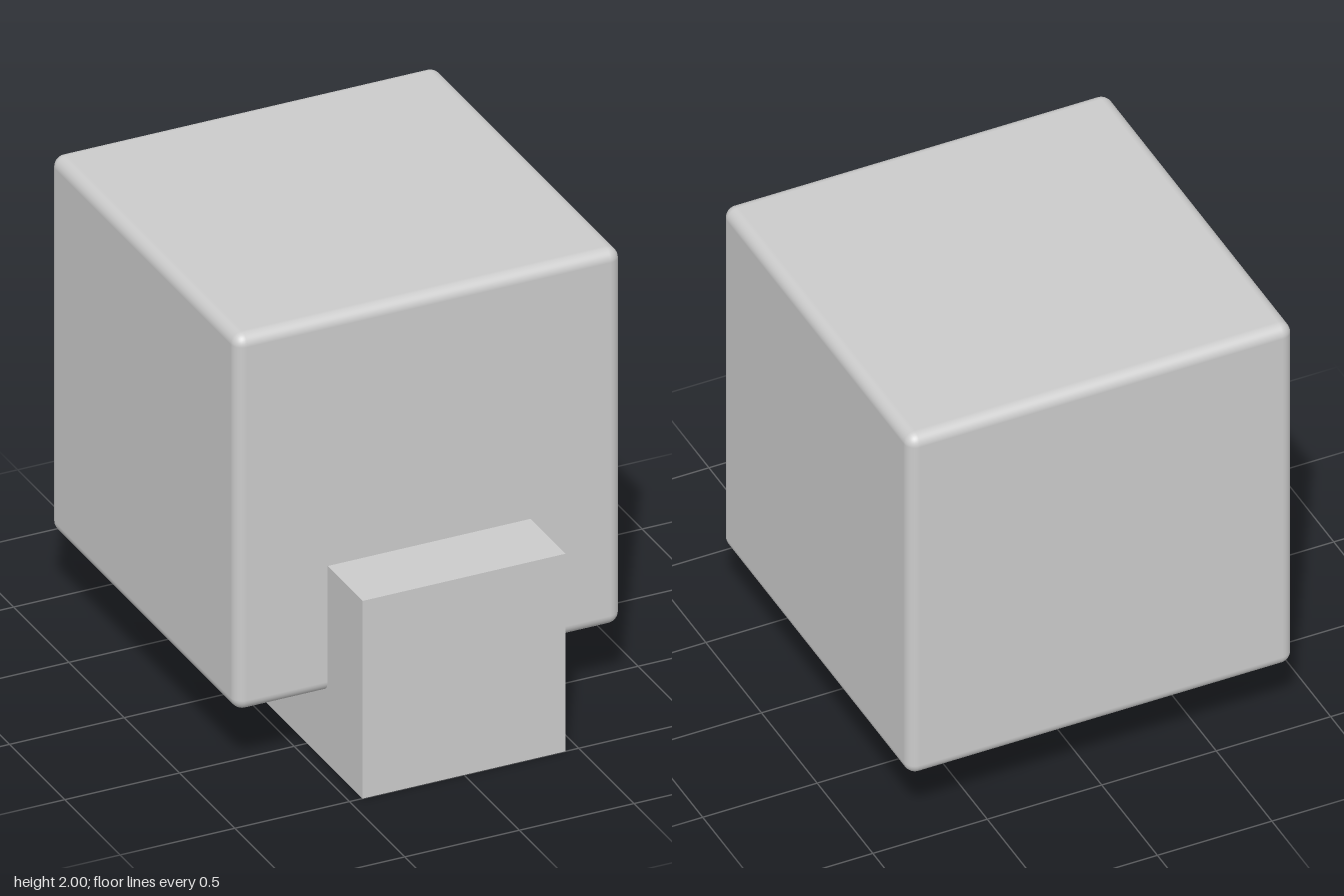
import * as THREE from 'three';
import { RoundedBoxGeometry } from 'three/addons/geometries/RoundedBoxGeometry.js';

export function createModel() {
  const model = new THREE.Group();
  const material = new THREE.MeshStandardMaterial({ color: 0xcccccc });

  const addPart = (name, geometry, y, z) => {
    const mesh = new THREE.Mesh(geometry, material);
    mesh.name = name;
    mesh.position.set(0, y, z);
    model.add(mesh);
  };

  // Large cube with softly rounded edges
  const large = 1.684;
  addPart('roundedCube', new RoundedBoxGeometry(large, large, large, 4, 0.05), 2 - large / 2, -1 + large / 2);

  // Small sharp-edged cube set into the lower front edge
  const small = 0.886;
  addPart('smallCube', new THREE.BoxGeometry(small, small, small), small / 2, 1 - small / 2);

  return model;
}
